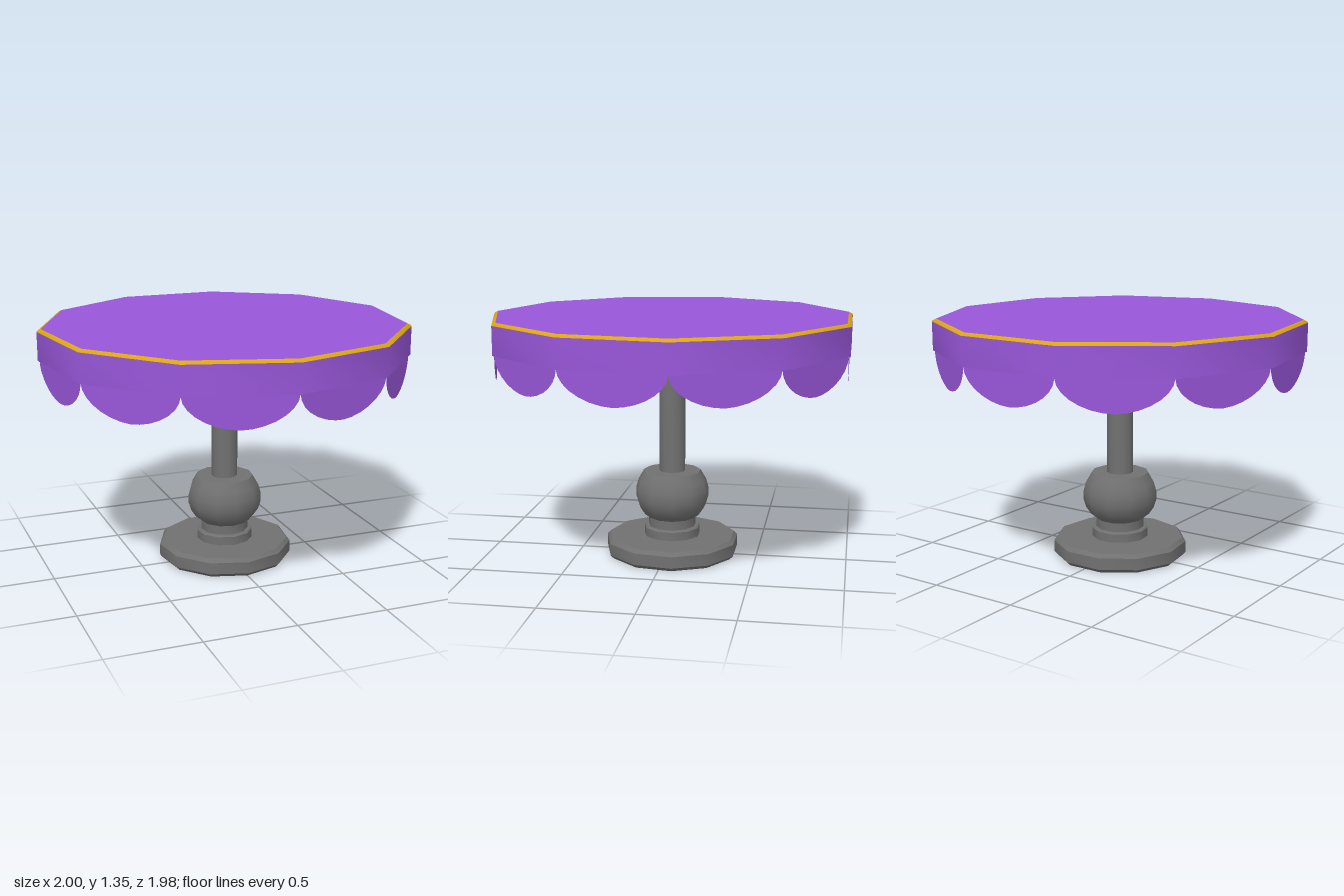
import * as THREE from 'three';
import { toCreasedNormals } from 'three/addons/utils/BufferGeometryUtils.js';

const SIDES = 11;
const STEP = (Math.PI * 2) / SIDES;

const purple = new THREE.MeshStandardMaterial({ name: 'purple cloth', color: 0x9857d9 });
const scallopPurple = purple.clone();
scallopPurple.side = THREE.DoubleSide;
const gold = new THREE.MeshStandardMaterial({ name: 'gold trim', color: 0xdaa511 });
const grey = new THREE.MeshStandardMaterial({ name: 'grey metal', color: 0x717171 });

// Eleven-sided turned part; profile runs from bottom to top as [radius, y]
function turned(name, profile, material) {
  const points = profile.map(([r, y]) => new THREE.Vector2(r, y));
  const geometry = toCreasedNormals(new THREE.LatheGeometry(points, SIDES), 0.65);
  const mesh = new THREE.Mesh(geometry, material);
  mesh.name = name;
  return mesh;
}

// Flat rounded flap hanging down from y = 0
function scallopGeometry(halfWidth, depth) {
  const shape = new THREE.Shape();
  const n = 14;
  shape.moveTo(-halfWidth, 0);
  for (let i = 1; i <= n; i++) {
    const a = Math.PI * (1 - i / n);
    const c = Math.cos(a);
    const x = Math.sign(c) * Math.pow(Math.abs(c), 1.1);
    const y = Math.pow(Math.max(0, Math.sin(a)), 1.1);
    shape.lineTo(x * halfWidth, -y * depth);
  }
  return new THREE.ShapeGeometry(shape);
}

export function createModel() {
  const table = new THREE.Group();
  table.name = 'table';

  // Pedestal
  table.add(
    turned('base', [[0, 0], [0.355, 0], [0.374, 0.02], [0.374, 0.085], [0.355, 0.105], [0, 0.105]], grey),
    turned('baseRing', [[0.157, 0.1], [0.157, 0.153], [0.15, 0.16], [0, 0.16]], grey),
    turned('neck', [[0.133, 0.155], [0.133, 0.215]], grey),
    turned('ball', [[0, 0.21], [0.133, 0.21], [0.165, 0.235], [0.192, 0.275], [0.206, 0.32],
      [0.206, 0.37], [0.192, 0.42], [0.16, 0.475], [0, 0.475]], grey),
    turned('pole', [[0.073, 0.47], [0.073, 1.185]], grey)
  );

  // Table top with a sloping gold rim
  table.add(
    turned('tableTop', [[0, 1.18], [1.01, 1.18], [1.01, 1.335]], purple),
    turned('goldRim', [[1.01, 1.335], [1.006, 1.341], [0.988, 1.35]], gold),
    turned('tableSurface', [[0.988, 1.35], [0, 1.35]], purple)
  );

  // Scalloped cloth edge, one flap per side
  const radius = 1.0;
  const flap = scallopGeometry(radius * Math.sin(STEP / 2), 0.17);
  const apothem = radius * Math.cos(STEP / 2);
  for (let i = 0; i < SIDES; i++) {
    const angle = (i + 0.5) * STEP;
    const mesh = new THREE.Mesh(flap, scallopPurple);
    mesh.name = 'scallop';
    mesh.position.set(Math.sin(angle) * apothem, 1.18, Math.cos(angle) * apothem);
    mesh.rotation.y = angle;
    table.add(mesh);
  }

  // An odd number of sides puts the axis slightly behind the centre
  table.position.z = -0.02;
  const model = new THREE.Group();
  model.name = 'pedestalTable';
  model.add(table);
  return model;
}
